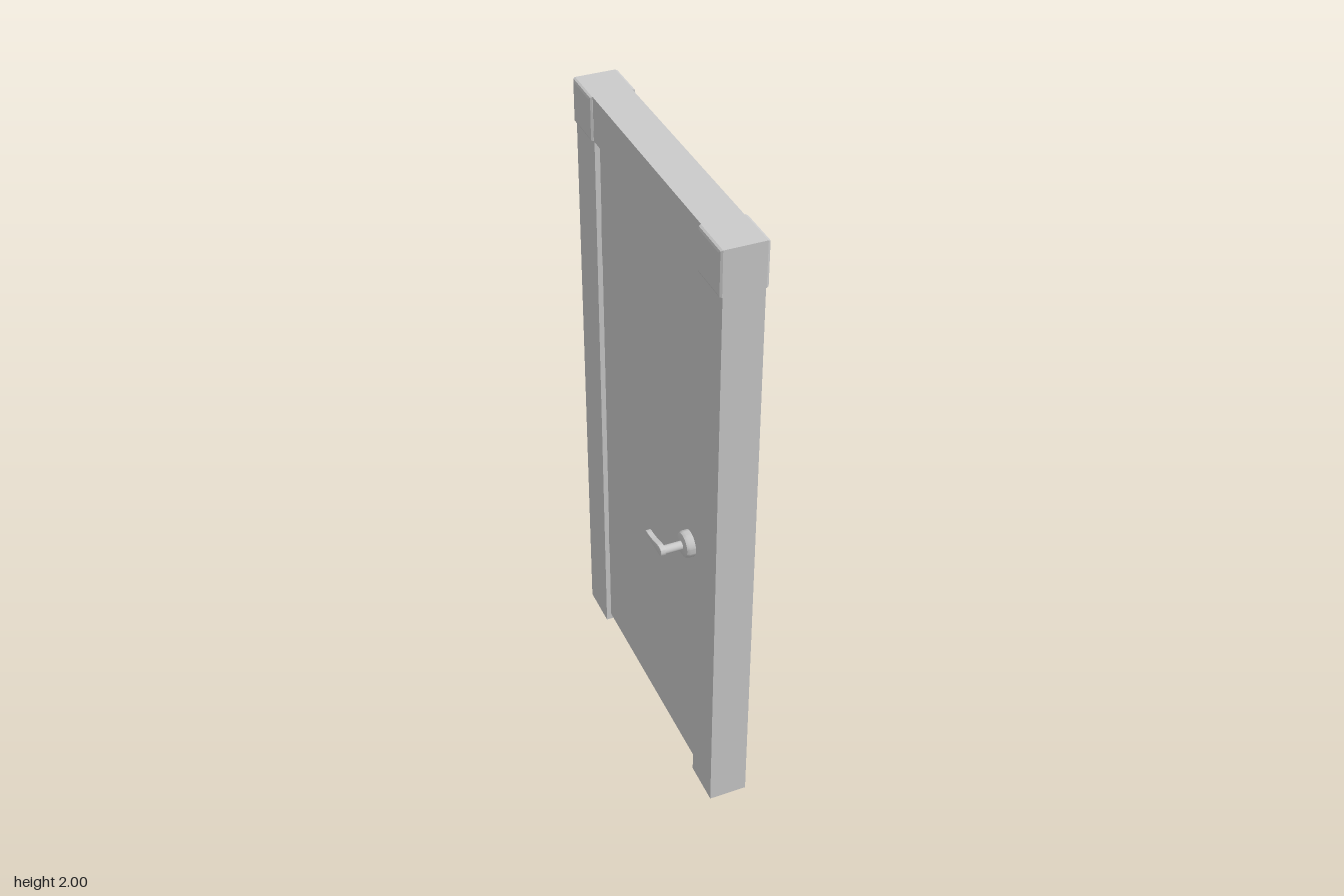
import * as THREE from 'three';
import { toCreasedNormals } from 'three/addons/utils/BufferGeometryUtils.js';

const grey = new THREE.MeshStandardMaterial({ color: 0xcccccc });

function add(parent, name, geometry) {
  const mesh = new THREE.Mesh(geometry, grey);
  mesh.name = name;
  parent.add(mesh);
  return mesh;
}

// Box given by its limits on each axis
function slab(parent, name, [x0, x1], [y0, y1], [z0, z1]) {
  const mesh = add(parent, name, new THREE.BoxGeometry(x1 - x0, y1 - y0, z1 - z0));
  mesh.position.set((x0 + x1) / 2, (y0 + y1) / 2, (z0 + z1) / 2);
  return mesh;
}

// Extrude a shape drawn in (-z, y) along x
function extrudeX(shape, depth, bevel, segments) {
  const g = new THREE.ExtrudeGeometry(shape, {
    depth: depth - 2 * bevel, bevelEnabled: true, bevelThickness: bevel,
    bevelSize: bevel, bevelOffset: -bevel, bevelSegments: segments, curveSegments: 12,
  });
  g.translate(0, 0, bevel - depth / 2);
  return g.rotateY(Math.PI / 2);
}

// Square block with bevelled edges at the top corners of the frame
function cornerBlock(parent, name, side) {
  const w = 0.137 / 2, h = 0.138 / 2;
  const s = new THREE.Shape([[-w, -h], [w, -h], [w, h], [-w, h]].map(p => new THREE.Vector2(...p)));
  const mesh = add(parent, name, extrudeX(s, 0.141, 0.009, 2));
  mesh.position.set(0.0055, 1.931, side * 0.4435);
}

// Rose, spindle and lever, pointing along +x
function handle(name) {
  const group = new THREE.Group();
  group.name = name;

  const rose = [[0, 0.03], [0.041, 0.03], [0.041, 0.06], [0.037, 0.068], [0.031, 0.071], [0, 0.071]];
  const roseGeo = new THREE.LatheGeometry(rose.map(p => new THREE.Vector2(...p)), 32);
  add(group, 'handleRose', toCreasedNormals(roseGeo.rotateZ(-Math.PI / 2), 0.5));

  const spindle = new THREE.CylinderGeometry(0.0135, 0.0135, 0.08, 24).rotateZ(-Math.PI / 2);
  add(group, 'handleSpindle', spindle).position.x = 0.1;

  // Lever tapering and curving up slightly to a rounded tip
  const s = new THREE.Shape();
  s.moveTo(0, -0.015);
  s.bezierCurveTo(0.03, -0.015, 0.04, -0.001, 0.1, 0.001);
  s.bezierCurveTo(0.109, 0.002, 0.109, 0.012, 0.1, 0.013);
  s.bezierCurveTo(0.06, 0.014, 0.03, 0.015, 0, 0.015);
  s.absarc(0, 0, 0.015, Math.PI / 2, Math.PI * 1.5, false);
  add(group, 'handleLever', toCreasedNormals(extrudeX(s, 0.017, 0.002, 2), 0.6)).position.x = 0.1325;

  group.position.set(0, 0.89, 0.306);
  return group;
}

export function createModel() {
  const model = new THREE.Group();
  model.name = 'door';
  const frameX = [-0.055, 0.065];

  // Frame
  slab(model, 'leftPost', frameX, [0, 1.865], [0.375, 0.512]);
  slab(model, 'rightPost', frameX, [0, 1.865], [-0.512, -0.37]);
  slab(model, 'lintel', frameX, [1.862, 2], [-0.38, 0.38]);
  cornerBlock(model, 'leftCornerBlock', 1);
  cornerBlock(model, 'rightCornerBlock', -1);

  // Door leaf, recessed in the frame
  slab(model, 'doorLeaf', [-0.042, 0.045], [0.03, 1.855], [-0.362, 0.367]);

  // Hinge plates in the gap
  for (const y of [0.32, 1.48]) slab(model, 'hinge', [-0.04, 0.047], [y, y + 0.115], [-0.372, -0.36]);

  // Handles on both faces, the second turned half round
  model.add(handle('outerHandle'));
  const inner = handle('innerHandle');
  inner.rotation.z = Math.PI;
  model.add(inner);

  return model;
}
